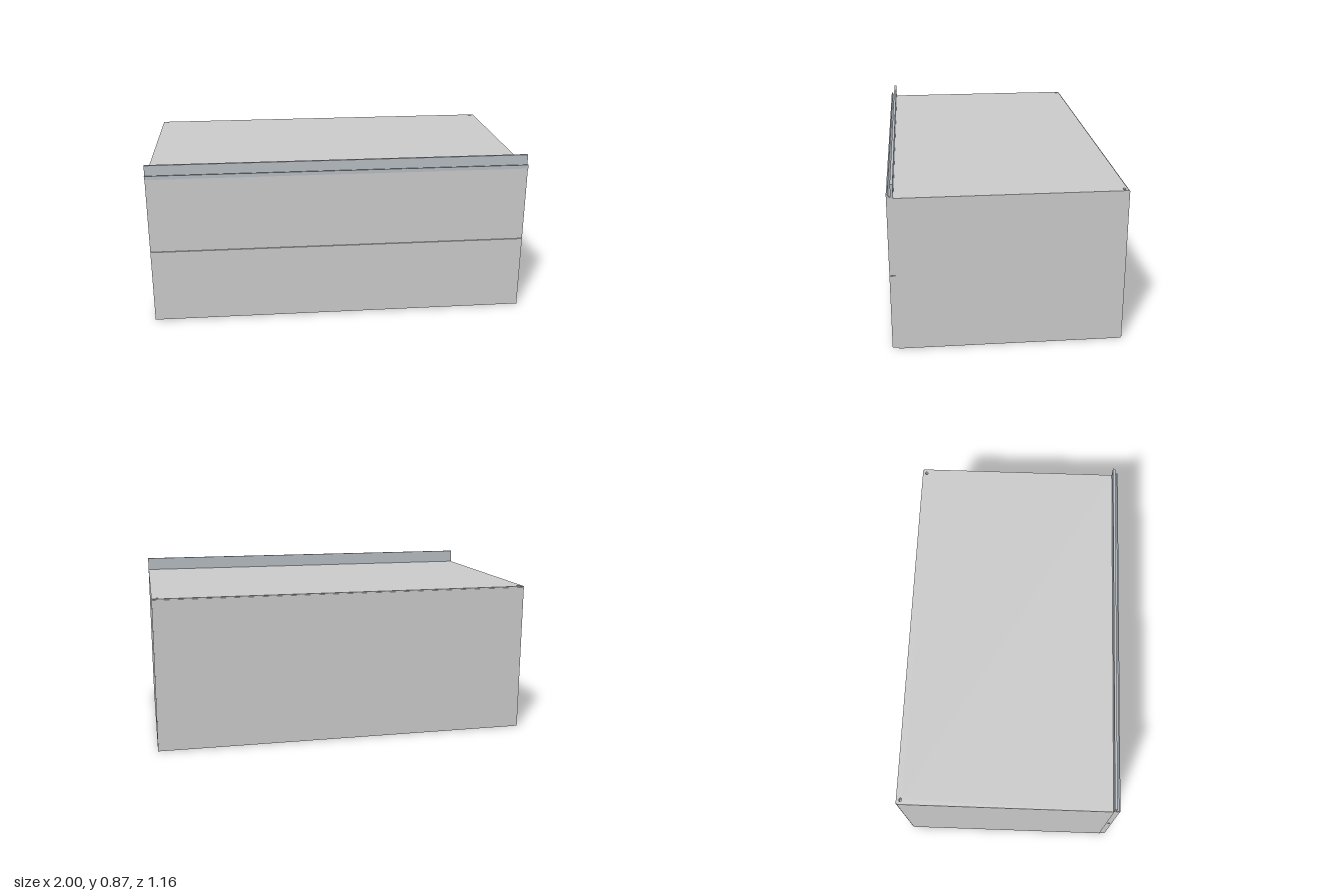
import * as THREE from 'three';

export function createModel() {
  const model = new THREE.Group();
  const grey = new THREE.MeshStandardMaterial({ color: 0xcccccc });
  const steel = new THREE.MeshStandardMaterial({ color: 0xb8bec4 });

  // Panel given by its lower and upper corners
  function panel(name, [x0, y0, z0], [x1, y1, z1]) {
    const mesh = new THREE.Mesh(new THREE.BoxGeometry(x1 - x0, y1 - y0, z1 - z0), grey);
    mesh.position.set((x0 + x1) / 2, (y0 + y1) / 2, (z0 + z1) / 2);
    mesh.name = name;
    model.add(mesh);
  }

  const T = 0.036, H = 0.8, FRONT = 0.55, BACK = -0.574;

  // Carcass: two sides and a bottom
  panel('rightSide', [-1, 0, BACK], [-1 + T, H - T, FRONT]);
  panel('leftSide', [1 - T, 0, BACK], [1, H - T, FRONT]);
  panel('bottom', [-1 + T, 0, BACK], [1 - T, T, FRONT]);

  // Top panel with a small fixing hole in each back corner
  const top = new THREE.Shape([
    new THREE.Vector2(-1, -FRONT), new THREE.Vector2(1, -FRONT),
    new THREE.Vector2(1, -BACK), new THREE.Vector2(-1, -BACK),
  ]);
  for (const s of [-1, 1]) {
    const hole = new THREE.Path();
    hole.absellipse(s * 0.975, 0.557, 0.01, 0.007, 0, Math.PI * 2, true);
    top.holes.push(hole);
  }
  const topGeometry = new THREE.ExtrudeGeometry(top, { depth: T, bevelEnabled: false, curveSegments: 8 });
  topGeometry.rotateX(-Math.PI / 2);
  const topMesh = new THREE.Mesh(topGeometry, grey);
  topMesh.position.y = H - T;
  topMesh.name = 'top';
  model.add(topMesh);

  // Thin back panel, inset slightly from the edges
  panel('backPanel', [-0.995, 0.005, -0.58], [0.995, 0.795, BACK]);

  // Two stacked drawer fronts with a narrow gap between them
  panel('lowerFront', [-0.998, 0.005, FRONT], [0.998, 0.399, 0.58]);
  panel('upperFront', [-0.998, 0.402, FRONT], [0.998, H, 0.58]);

  // Grip rail: front lip, sloped channel and taller upstand, as (z, y) points
  const profile = [
    [0.58, 0.8], [0.58, 0.82], [0.574, 0.82], [0.566, 0.808],
    [0.56, 0.805], [0.56, 0.87], [0.547, 0.87], [0.547, 0.8],
  ].map(([z, y]) => new THREE.Vector2(-z, y));
  const railGeometry = new THREE.ExtrudeGeometry(new THREE.Shape(profile), { depth: 2, bevelEnabled: false });
  railGeometry.rotateY(Math.PI / 2);
  const rail = new THREE.Mesh(railGeometry, steel);
  rail.position.x = -1;
  rail.name = 'gripRail';
  model.add(rail);

  return model;
}
